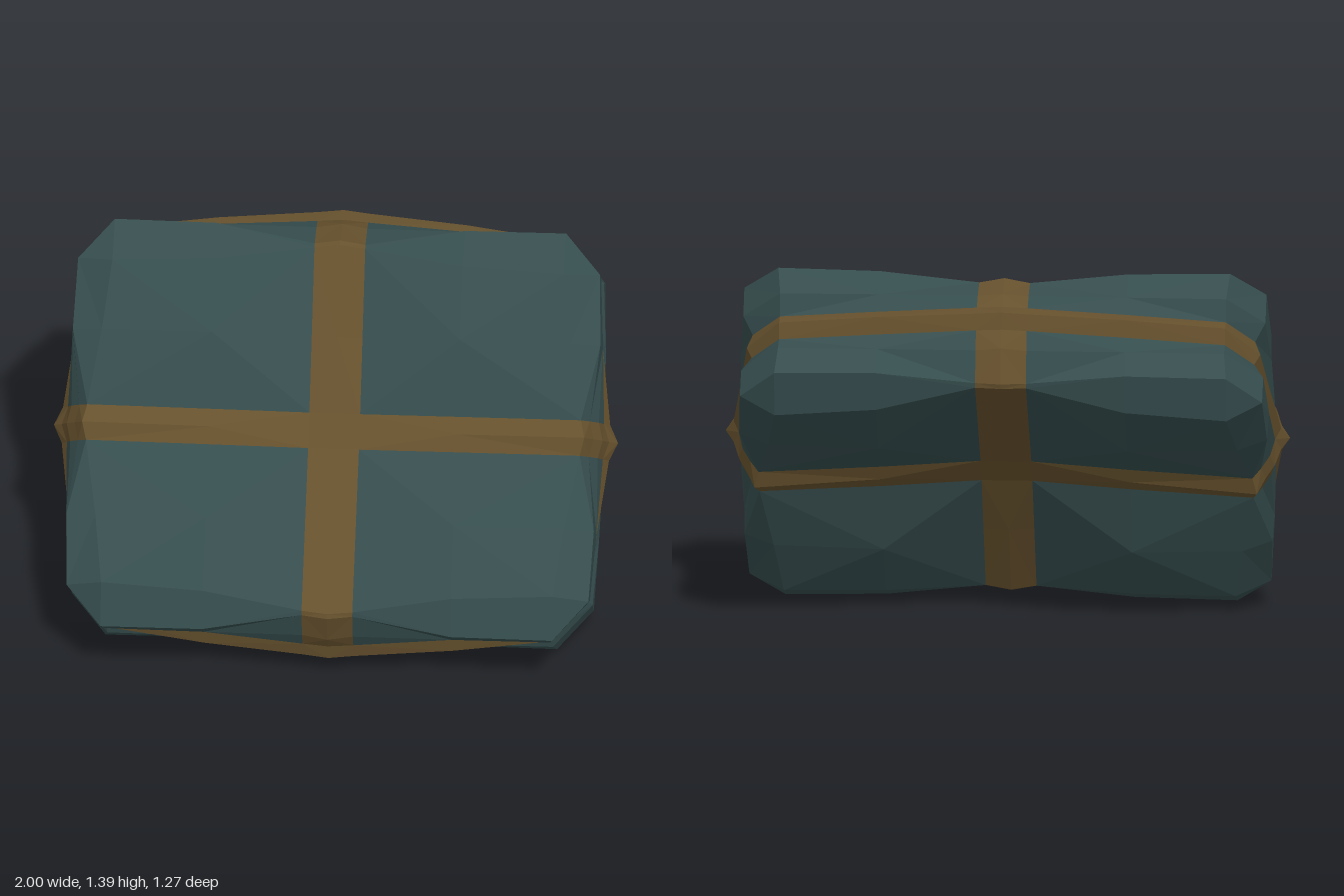
import * as THREE from 'three';

// Tangential grid lines per axis: strap centre, strap edge, bulge middle.
const GRID = { x: [0, 0.09, 0.44], y: [0, 0.063, 0.33], z: [0, 0.048, 0.115] };
const AXES = ['x', 'y', 'z'];
const STRAP = { x: 'lengthwiseStrap', y: 'crossStrap', z: 'edgeStrap' };

// One quarter of one side: heights over a 4 x 4 grid, plus where its outer edges lie.
function patch(n, p, q, heights, pOuter, qOuter) {
  return heights.map((row, i) => row.map((h, j) => {
    const v = new THREE.Vector3();
    v[n] = h;
    v[p] = i < 3 ? GRID[p][i] : pOuter[j];
    v[q] = j < 3 ? GRID[q][j] : qOuter[i];
    return v;
  }));
}

const broad = patch('z', 'x', 'y', [
  [0.155, 0.155, 0.19, 0.232],
  [0.155, 0.155, 0.185, 0.222],
  [0.197, 0.185, 0.28, 0.285],
  [0.24, 0.214, 0.268, 0.302],
], [0.89, 0.875, 0.83, 0.8], [0.655, 0.645, 0.59, 0.572]);

const end = patch('y', 'x', 'z', [
  [0.795, 0.757, 0.738, 0.672],
  [0.785, 0.75, 0.724, 0.66],
  [0.755, 0.715, 0.724, 0.721],
  [0.71, 0.675, 0.722, 0.723],
], [0.79, 0.79, 0.79, 0.8], [0.224, 0.212, 0.215, 0.222]);

const flank = patch('x', 'y', 'z', [
  [1.0, 0.97, 0.95, 0.92],
  [0.97, 0.95, 0.935, 0.905],
  [0.935, 0.92, 0.94, 0.935],
  [0.91, 0.89, 0.925, 0.925],
], [0.54, 0.55, 0.57, 0.58], [0.17, 0.17, 0.222, 0.228]);

export function createModel() {
  const cloth = new THREE.MeshStandardMaterial({ color: 0x364d4e });
  const leather = new THREE.MeshStandardMaterial({ color: 0x66512d });
  cloth.name = 'darkTealCloth';
  leather.name = 'brownLeather';
  const parts = { padding: [], lengthwiseStrap: [], crossStrap: [], edgeStrap: [] };

  // Adds a triangle facing outwards.
  const tri = (part, a, b, c) => {
    const n = b.clone().sub(a).cross(c.clone().sub(a));
    const corners = n.dot(a.clone().add(b).add(c)) < 0 ? [a, c, b] : [a, b, c];
    corners.forEach((v) => parts[part].push(v.x, v.y, v.z));
  };
  const quad = (part, a, b, c, d) => {
    tri(part, a, b, c);
    tri(part, a, c, d);
  };

  // The same octant mirrored eight times
  for (const sx of [1, -1]) for (const sy of [1, -1]) for (const sz of [1, -1]) {
    const s = new THREE.Vector3(sx, sy, sz);
    const mirror = (g) => g.map((row) => row.map((v) => v.clone().multiply(s)));
    const W = mirror(broad), U = mirror(end), X = mirror(flank);

    // Sides: the cells next to a centre line belong to a strap,
    // and the padding creases fan out from the middle of each bulge
    for (const [g, p, q] of [[W, 'x', 'y'], [U, 'x', 'z'], [X, 'y', 'z']]) {
      for (let i = 0; i < 3; i++) for (let j = 0; j < 3; j++) {
        const part = i === 0 ? STRAP[p] : j === 0 ? STRAP[q] : 'padding';
        const a = g[i][j], b = g[i + 1][j], c = g[i + 1][j + 1], d = g[i][j + 1];
        if ((i + j) % 2) quad(part, b, c, d, a);
        else quad(part, a, b, c, d);
      }
    }

    // Bevels between the sides, and the corner
    const edges = [
      (k) => [W[k][3], U[k][3]],
      (k) => [W[3][k], X[k][3]],
      (k) => [U[3][k], X[3][k]],
    ];
    edges.forEach((edge, axis) => {
      for (let k = 0; k < 3; k++) {
        const [a, b] = edge(k), [d, c] = edge(k + 1);
        quad(k === 0 ? STRAP[AXES[axis]] : 'padding', a, b, c, d);
      }
    });
    tri('padding', W[3][3], U[3][3], X[3][3]);
  }

  const bundle = new THREE.Group();
  bundle.name = 'strappedBundle';
  for (const [name, positions] of Object.entries(parts)) {
    const geometry = new THREE.BufferGeometry();
    geometry.setAttribute('position', new THREE.Float32BufferAttribute(positions, 3));
    geometry.computeVertexNormals();
    const mesh = new THREE.Mesh(geometry, name === 'padding' ? cloth : leather);
    mesh.name = name;
    bundle.add(mesh);
  }

  // Leaning backwards
  bundle.rotation.x = THREE.MathUtils.degToRad(-40);
  bundle.position.y = 0.698;
  const model = new THREE.Group();
  model.name = 'tiltedBundle';
  model.add(bundle);
  return model;
}
